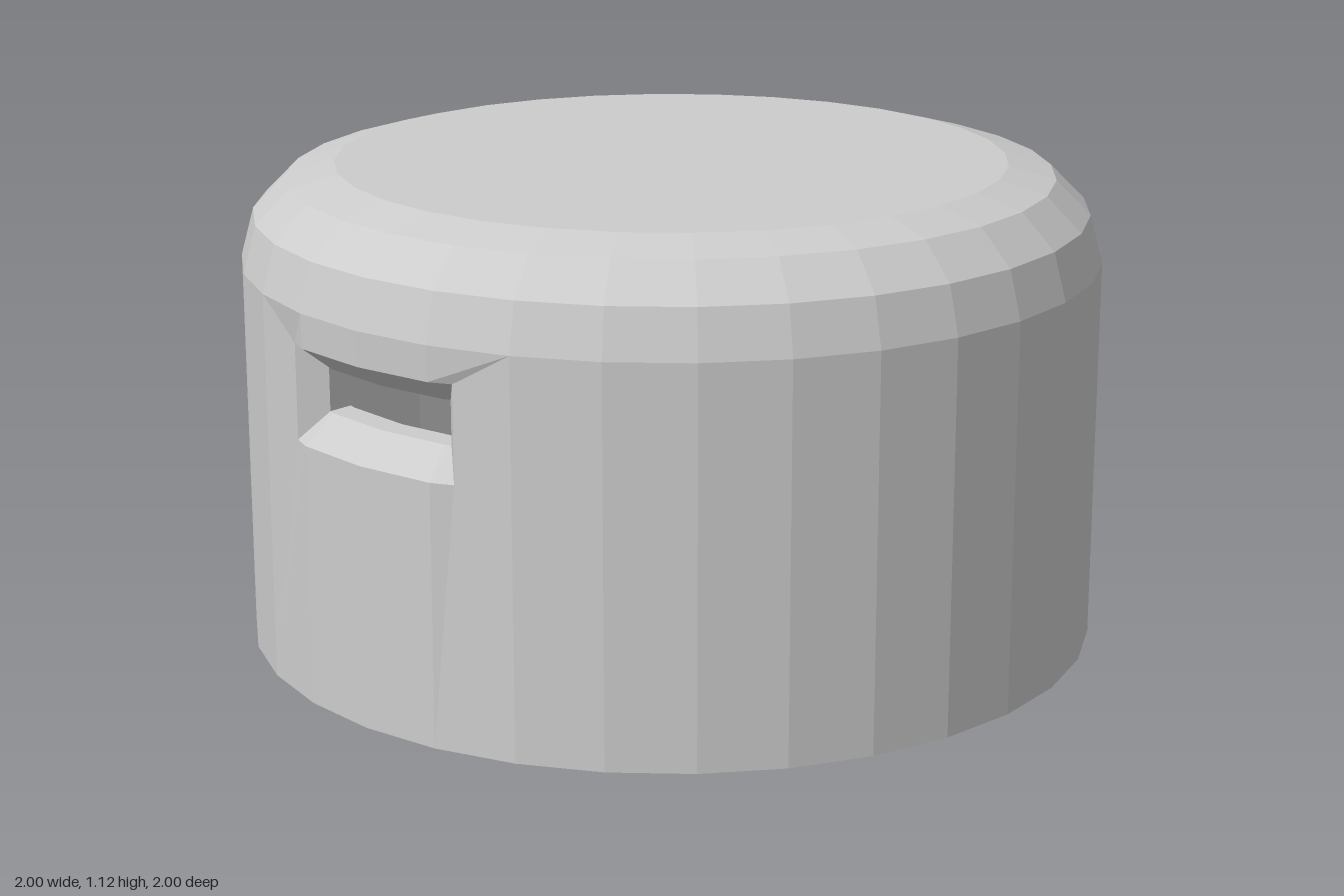
import * as THREE from 'three';

const SEGMENTS = 32;
const STEP = (Math.PI * 2) / SEGMENTS;

const shell = new THREE.MeshStandardMaterial({ color: 0xcccccc });
shell.name = 'plain grey';

// Faceted mesh: every face gets its own normal
function facetedMesh(name, geometry) {
  const flat = geometry.index ? geometry.toNonIndexed() : geometry;
  flat.computeVertexNormals();
  const mesh = new THREE.Mesh(flat, shell);
  mesh.name = name;
  return mesh;
}

// Revolve a [radius, height] profile, leaving out `skip` segments on each side of the front
function revolve(name, profile, skip = 0) {
  const points = profile.map(([r, y]) => new THREE.Vector2(r, y));
  const count = SEGMENTS - skip * 2;
  return facetedMesh(name, new THREE.LatheGeometry(points, count, skip * STEP, count * STEP));
}

// Ten-point closed loop facing the front; the half outline is mirrored in x
function frontLoop([[x1, z1], [x2, z2]], zMid, y0, y1) {
  const row = [[-x2, z2], [-x1, z1], [0, zMid], [x1, z1], [x2, z2]];
  return [...row.map(([x, z]) => [x, y0, z]), ...row.reverse().map(([x, z]) => [x, y1, z])];
}

// Corner columns of the round wall at the first and second segment from the front
function wallLoop(r, y0, y1) {
  const half = [1, 2].map((k) => [r * Math.sin(k * STEP), r * Math.cos(k * STEP)]);
  return frontLoop(half, r, y0, y1);
}

// Join successive loops with quads
function loft(name, loops) {
  const position = [];
  for (let l = 0; l < loops.length - 1; l++) {
    const a = loops[l], b = loops[l + 1];
    for (let i = 0; i < a.length; i++) {
      const j = (i + 1) % a.length;
      position.push(...a[i], ...a[j], ...b[j], ...a[i], ...b[j], ...b[i]);
    }
  }
  const geometry = new THREE.BufferGeometry();
  geometry.setAttribute('position', new THREE.Float32BufferAttribute(position, 3));
  return facetedMesh(name, geometry);
}

export function createModel() {
  const group = new THREE.Group();
  group.name = 'hollowCap';

  // Rounded top, outside and inside
  group.add(revolve('roundedTop', [[1, 0.9], [0.97, 1.01], [0.89, 1.09], [0.78, 1.12], [0, 1.12]]));
  group.add(revolve('ceiling', [[0, 0.99], [0.78, 0.99], [0.825, 0.978], [0.858, 0.945], [0.87, 0.9]]));

  // Round walls, open at the front, and the bottom rim
  group.add(revolve('outerWall', [[1, 0], [1, 0.9]], 2));
  group.add(revolve('innerWall', [[0.87, 0.9], [0.87, 0]], 2));
  group.add(revolve('bottomRim', [[0.87, 0], [1, 0]]));

  // Front wall with a bevelled slot running right through it
  group.add(loft('slottedFront', [
    wallLoop(1, 0, 0.9),
    frontLoop([[0.195, 0.978], [0.245, 0.955]], 0.997, 0.6, 0.82),
    frontLoop([[0.175, 0.913], [0.19, 0.907]], 0.93, 0.665, 0.765),
    frontLoop([[0.17, 0.853], [0.19, 0.847]], 0.87, 0.665, 0.765),
    wallLoop(0.87, 0, 0.9),
  ]));

  return group;
}
